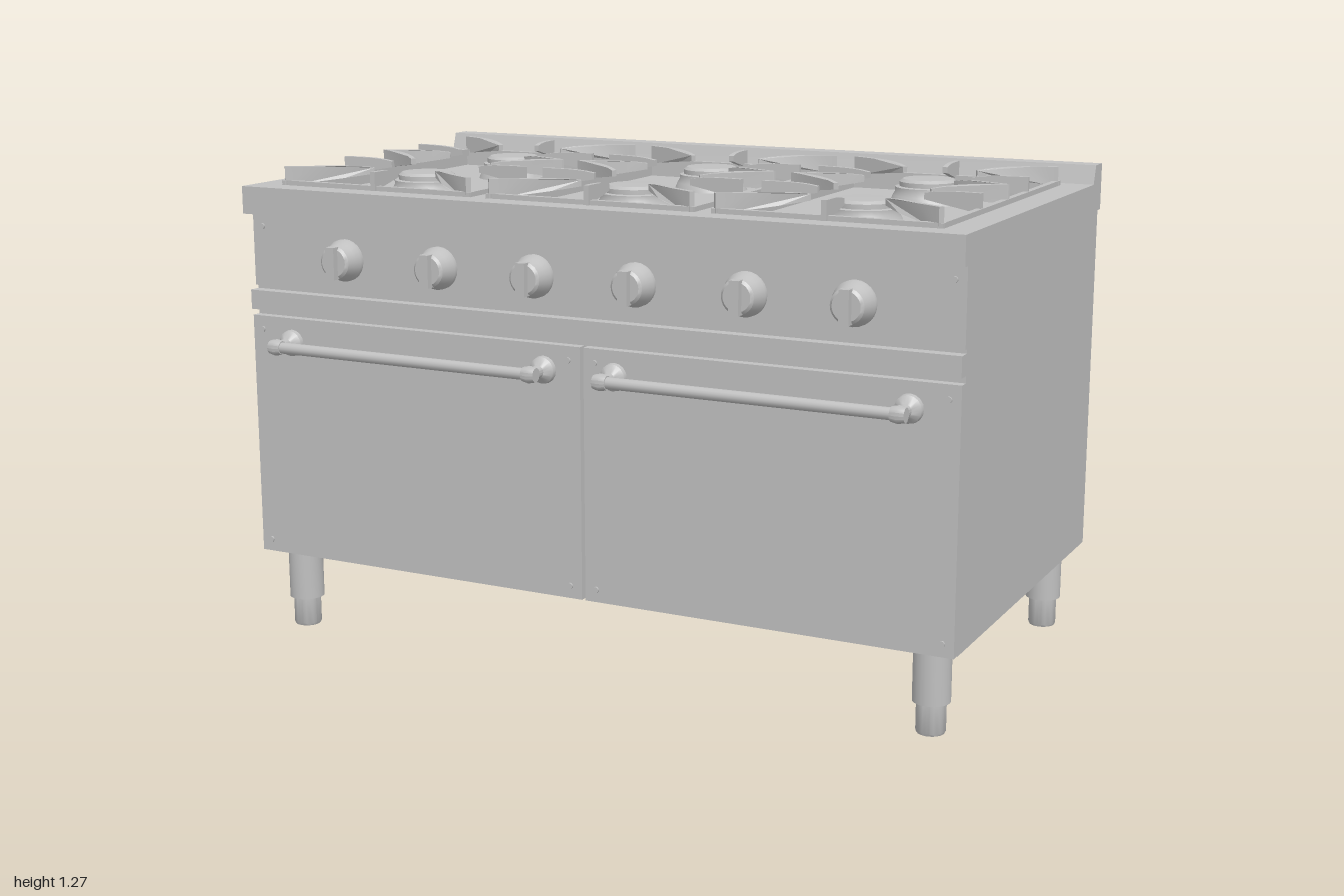
import * as THREE from 'three';
import { toCreasedNormals } from 'three/addons/utils/BufferGeometryUtils.js';

const steel = new THREE.MeshStandardMaterial({ color: 0xc0c0c0 });
steel.name = 'brushed steel';

function add(parent, name, geometry, x = 0, y = 0, z = 0) {
  const mesh = new THREE.Mesh(geometry, steel);
  mesh.name = name;
  mesh.position.set(x, y, z);
  parent.add(mesh);
  return mesh;
}

// Box given by its limits on each axis
function block(parent, name, x0, x1, y0, y1, z0, z1) {
  return add(parent, name, new THREE.BoxGeometry(x1 - x0, y1 - y0, z1 - z0),
    (x0 + x1) / 2, (y0 + y1) / 2, (z0 + z1) / 2);
}

// Turned part from [radius, height] pairs, with sharp steps
function turned(points, sides = 24) {
  const profile = points.map(([r, h]) => new THREE.Vector2(r, h));
  return toCreasedNormals(new THREE.LatheGeometry(profile, sides), 0.6);
}

// Tapered pan-support blade between two points on the hob, optionally bowed sideways
function finger(parent, x0, z0, x1, z1, bow = 0) {
  const length = Math.hypot(x1 - x0, z1 - z0);
  const steps = 6, points = [];
  for (let i = 0; i <= steps; i++) {
    const t = i / steps;
    points.push(new THREE.Vector2(t * length, 1.222 + 0.026 * t));
  }
  for (let i = steps; i >= 0; i--) {
    const t = i / steps;
    points.push(new THREE.Vector2(t * length, 1.272 - 0.008 * t ** 4));
  }
  const geometry = new THREE.ExtrudeGeometry(new THREE.Shape(points), { depth: 0.014, bevelEnabled: false });
  geometry.translate(0, 0, -0.007);
  const p = geometry.attributes.position;
  for (let i = 0; i < p.count; i++) {
    p.setZ(i, p.getZ(i) + bow * Math.sin(Math.PI * p.getX(i) / length));
  }
  const mesh = add(parent, 'panSupportFinger', toCreasedNormals(geometry, 0.6), x0, 0, z0);
  mesh.rotation.y = -Math.atan2(z1 - z0, x1 - x0);
}

function createModel() {
  const model = new THREE.Group();
  model.name = 'gasRange';

  // Cabinet, control panel and trim below it
  block(model, 'cabinet', -0.995, 0.995, 0.22, 1.15, -0.565, 0.49);
  block(model, 'controlPanel', -0.995, 0.995, 0.955, 1.15, 0.49, 0.5);
  block(model, 'trimStrip', -0.995, 0.995, 0.893, 0.945, 0.49, 0.522);

  // Oven doors with bar handles
  for (const [x0, x1, a, b] of [[-0.995, 0.004, -0.87, -0.1], [0.014, 0.995, 0.1, 0.87]]) {
    const door = new THREE.Group();
    door.name = 'ovenDoor';
    model.add(door);
    block(door, 'doorPanel', x0, x1, 0.222, 0.876, 0.49, 0.516);
    const bar = add(door, 'handleBar', new THREE.CylinderGeometry(0.015, 0.015, b - a, 16), (a + b) / 2, 0.81, 0.585);
    bar.rotation.z = Math.PI / 2;
    for (const x of [a, b]) {
      const post = add(door, 'handlePost', turned([[0, 0], [0.036, 0], [0.034, 0.012], [0.016, 0.03], [0.015, 0.07], [0, 0.07]], 16), x, 0.81, 0.515);
      post.rotation.x = Math.PI / 2;
      const cap = add(door, 'handleCap', turned([[0, -0.018], [0.018, -0.018], [0.022, 0], [0.018, 0.018], [0, 0.018]], 16), x, 0.81, 0.585);
      cap.rotation.z = Math.PI / 2;
    }
    const outer = x0 < -0.5 ? -0.965 : 0.965;
    for (const [x, y] of [[outer, 0.255], [outer, 0.84], [x0 < -0.5 ? -0.03 : 0.045, 0.84], [x0 < -0.5 ? -0.03 : 0.045, 0.255]]) {
      add(door, 'doorScrew', new THREE.CylinderGeometry(0.008, 0.008, 0.006, 10), x, y, 0.518).rotation.x = Math.PI / 2;
    }
  }

  // Burner control knobs
  const knobBody = turned([[0, 0], [0.055, 0], [0.055, 0.012], [0.048, 0.028], [0.043, 0.05], [0.036, 0.056], [0, 0.056]]);
  for (const x of [-0.7, -0.413, -0.132, 0.153, 0.448, 0.725]) {
    const knob = new THREE.Group();
    knob.name = 'controlKnob';
    knob.position.set(x, 1.042, 0.5);
    model.add(knob);
    add(knob, 'knobBody', knobBody).rotation.x = Math.PI / 2;
    block(knob, 'knobGrip', -0.013, 0.013, -0.042, 0.042, 0.045, 0.073);
  }
  for (const x of [-0.965, 0.965]) {
    add(model, 'panelScrew', new THREE.CylinderGeometry(0.008, 0.008, 0.006, 10), x, 1.115, 0.502).rotation.x = Math.PI / 2;
  }

  // Worktop with three openings (shape y becomes -z)
  const wells = [-0.63, 0, 0.63], half = 0.293, zBack = -0.455, zFront = 0.465;
  const rect = (Type, x0, x1, z0, z1) => new Type([[x0, -z1], [x1, -z1], [x1, -z0], [x0, -z0]].map(([x, y]) => new THREE.Vector2(x, y)));
  const top = rect(THREE.Shape, -1, 1, -0.572, 0.535);
  for (const cx of wells) top.holes.push(rect(THREE.Path, cx - half, cx + half, zBack, zFront));
  const topGeometry = new THREE.ExtrudeGeometry(top, { depth: 0.073, bevelEnabled: false });
  topGeometry.rotateX(-Math.PI / 2);
  add(model, 'worktop', topGeometry, 0, 1.15, 0);

  // Rear upstand with a sloping front
  const upstand = new THREE.Shape([[0.572, 1.15], [0.572, 1.273], [0.515, 1.273], [0.498, 1.222], [0.498, 1.15]].map(([x, y]) => new THREE.Vector2(x, y)));
  const upstandGeometry = new THREE.ExtrudeGeometry(upstand, { depth: 2, bevelEnabled: false });
  upstandGeometry.rotateY(Math.PI / 2);
  upstandGeometry.scale(1, 1, 1);
  add(model, 'rearUpstand', upstandGeometry, -1, 0, 0);

  // Hob wells, burners and pan supports
  const burnerGeometry = turned([[0.1, 0], [0.092, 0.02], [0.086, 0.03], [0.086, 0.042], [0.075, 0.044], [0.075, 0.056], [0.066, 0.063], [0, 0.065]], 32);
  for (const cx of wells) {
    const hob = new THREE.Group();
    hob.name = 'hobSection';
    hob.position.x = cx;
    model.add(hob);
    block(hob, 'wellFloor', -half, half, 1.15, 1.185, zBack, zFront);
    for (const z of [-0.24, 0.215]) add(hob, 'burner', burnerGeometry, 0, 1.185, z);

    // Support frame
    for (const s of [-1, 1]) {
      const x = s * 0.283;
      block(hob, 'supportSideRail', x - 0.008, x + 0.008, 1.215, 1.235, zBack, zFront);
      const z = s < 0 ? zBack + 0.01 : zFront - 0.01;
      block(hob, 'supportEndRail', -half, half, 1.215, 1.235, z - 0.008, z + 0.008);
    }
    // Fingers reaching towards each burner
    for (const s of [-1, 1]) {
      finger(hob, s * 0.285, -0.45, s * 0.1, -0.335, s * 0.012);
      finger(hob, s * 0.285, 0.46, s * 0.1, 0.315, -s * 0.012);
      finger(hob, s * 0.287, -0.015, s * 0.125, -0.1, -s * 0.008);
      finger(hob, s * 0.287, -0.015, s * 0.125, 0.09, s * 0.008);
      finger(hob, s * 0.287, -0.19, s * 0.14, -0.178);
      finger(hob, s * 0.287, 0.18, s * 0.14, 0.168);
    }
    finger(hob, 0, -0.465, 0, -0.37);
    finger(hob, 0, 0.47, 0, 0.36);
  }

  // Stepped adjustable feet
  const legGeometry = turned([[0, 0], [0.034, 0], [0.037, 0.006], [0.037, 0.08], [0.047, 0.08], [0.047, 0.222]]);
  for (const x of [-0.915, 0.915]) {
    for (const z of [0.435, -0.47]) add(model, 'leg', legGeometry, x, 0, z);
  }

  // Gas inlet and rear bolts
  const inlet = add(model, 'gasInlet', turned([[0.012, 0], [0.012, 0.012], [0.021, 0.012], [0.021, 0.048], [0, 0.048]], 12), -0.31, 0.305, -0.563);
  inlet.rotation.x = -Math.PI / 2;
  for (const x of [-0.955, 0.955]) {
    for (const y of [0.255, 1.12]) {
      add(model, 'rearBolt', new THREE.CylinderGeometry(0.01, 0.01, 0.014, 10), x, y, -0.569).rotation.x = Math.PI / 2;
    }
  }
  return model;
}

export { createModel };
